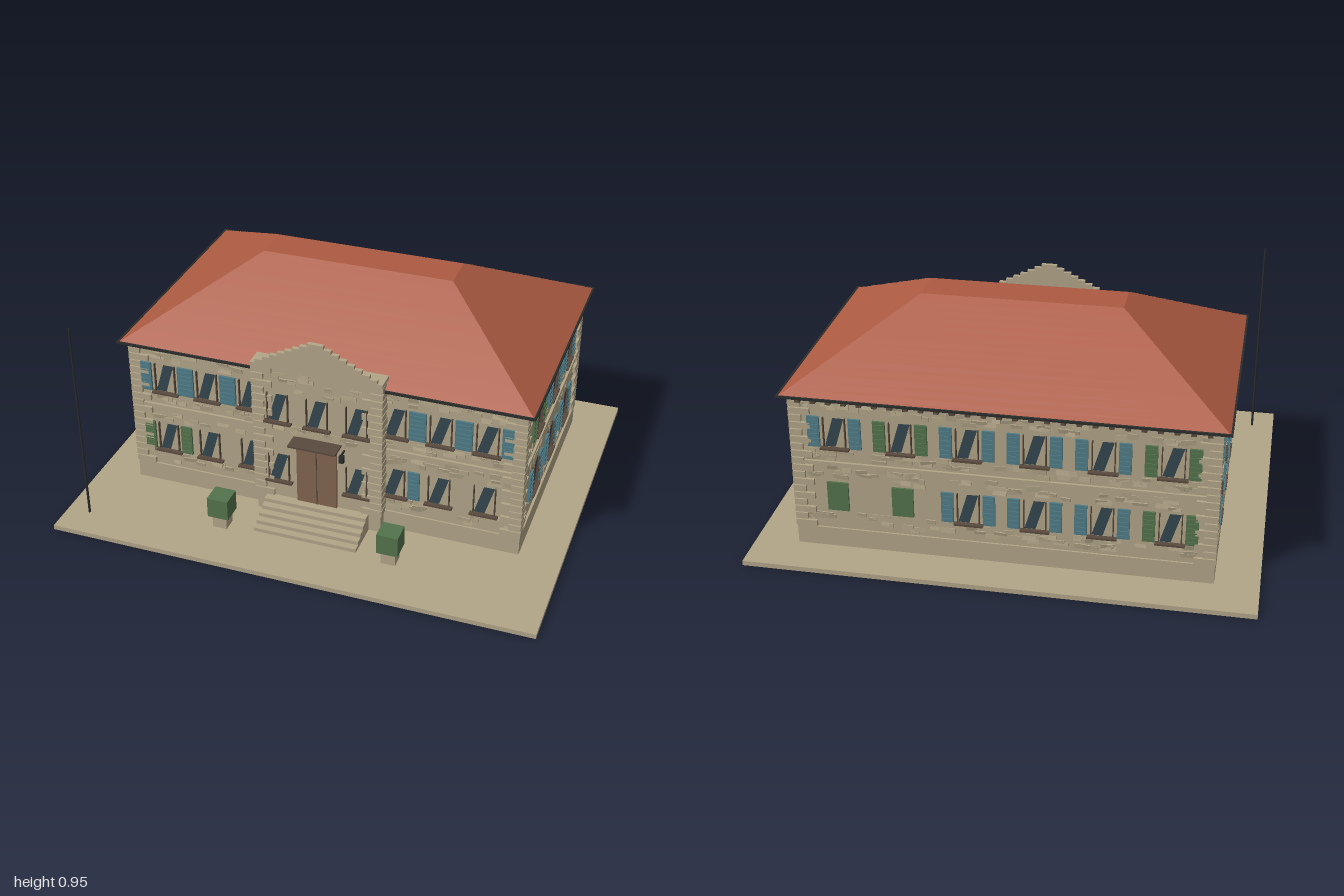
import * as THREE from 'three';
import { mergeGeometries } from 'three/addons/utils/BufferGeometryUtils.js';

const mat = (name, color, side = THREE.FrontSide) => {
  const m = new THREE.MeshStandardMaterial({ color, side });
  m.name = name;
  return m;
};

export function createModel() {
  const stone = mat('stone', 0xb2a588);
  const roofRed = mat('roof tile', 0xac5a41);
  const blue = mat('blue paint', 0x4f7c87);
  const green = mat('green paint', 0x53734c);
  const glass = mat('dark glass', 0x344650, THREE.DoubleSide);
  const wood = mat('door wood', 0x82644f);
  const trim = mat('dark trim', 0x5a4a3e);
  const metal = mat('dark metal', 0x2b2d2c);

  const model = new THREE.Group();
  model.name = 'building';
  let seed = 7;
  const rnd = () => (seed = (seed * 16807) % 2147483647) / 2147483647;

  const add = (parent, name, geometry, material, x = 0, y = 0, z = 0) => {
    const m = new THREE.Mesh(geometry, material);
    m.name = name;
    m.position.set(x, y, z);
    parent.add(m);
    return m;
  };
  // Box given by its minimum and maximum corners
  const span = (parent, name, material, x0, x1, y0, y1, z0, z1) =>
    add(parent, name, new THREE.BoxGeometry(x1 - x0, y1 - y0, z1 - z0), material,
      (x0 + x1) / 2, (y0 + y1) / 2, (z0 + z1) / 2);

  // Ground and main walls
  span(model, 'ground', stone, -1, 1, 0, 0.02, -0.82, 0.81);
  span(model, 'walls', stone, -0.815, 0.815, 0.02, 0.68, -0.637, 0.365);
  span(model, 'plinth', stone, -0.825, 0.825, 0.02, 0.1, -0.645, 0.373);
  span(model, 'stringCourse', stone, -0.826, 0.826, 0.385, 0.4, -0.648, 0.376);
  span(model, 'eaveBand', stone, -0.822, 0.822, 0.655, 0.675, -0.644, 0.372);

  // Quoins: alternating blocks up the corners
  const quoins = (x, z, y0, y1) => {
    const n = Math.round((y1 - y0) / 0.032), h = (y1 - y0) / n;
    for (let i = 0; i < n; i++) {
      const a = i % 2 ? 0.05 : 0.085, b = i % 2 ? 0.085 : 0.05;
      add(model, 'quoin', new THREE.BoxGeometry(a, h * 0.85, b), stone,
        x - Math.sign(x) * a / 2, y0 + h * (i + 0.5), z - Math.sign(z) * b / 2);
    }
  };
  for (const x of [-0.828, 0.828]) {
    quoins(x, 0.378, 0.1, 0.66);
    quoins(x, -0.65, 0.1, 0.66);
  }

  // Hipped roof in overlapping tile courses
  const hip = (w0, d0, w1, d1, h) => {
    const g = new THREE.BoxGeometry(1, h, 1), p = g.attributes.position;
    for (let i = 0; i < p.count; i++) {
      const up = p.getY(i) > 0;
      p.setX(i, p.getX(i) * (up ? w1 : w0));
      p.setZ(i, p.getZ(i) * (up ? d1 : d0));
    }
    g.computeVertexNormals();
    return g;
  };
  const courses = 14, rise = 0.265 / courses;
  const wide = t => 1.7 - 0.9 * t, deep = t => 1.075 - 0.915 * t;
  for (let i = 0; i < courses; i++) {
    const a = i / courses, b = (i + 1) / courses;
    add(model, 'roofCourse', hip(wide(a) + 0.008, deep(a) + 0.008, wide(b), deep(b), rise),
      roofRed, 0, 0.685 + rise * (i + 0.5), -0.1375);
  }
  span(model, 'soffit', trim, -0.85, 0.85, 0.675, 0.685, -0.675, 0.4);

  // Gutters and eave brackets
  for (const s of [-1, 1]) {
    span(model, 'sideGutter', metal, s * 0.857 - 0.004, s * 0.857 + 0.004, 0.678, 0.688, -0.684, 0.409);
    const z = s > 0 ? 0.405 : -0.68;
    span(model, 'longGutter', metal, -0.861, 0.861, 0.678, 0.688, z - 0.004, z + 0.004);
  }
  for (let x = -0.78; x < 0.8; x += 0.06)
    span(model, 'eaveBracket', trim, x - 0.01, x + 0.01, 0.66, 0.677, -0.67, -0.635);

  // Windows: slanted pane, sill, mullions and optional shutters
  const pane = new THREE.ShapeGeometry(new THREE.Shape([
    [-0.04, -0.062], [0.003, -0.062], [0.04, 0.062], [-0.004, 0.062],
  ].map(p => new THREE.Vector2(...p))));
  const shutterAt = (wall, x, y, paint) => {
    add(wall, 'shutter', new THREE.BoxGeometry(0.048, 0.13, 0.009), paint, x, y, 0.008);
    for (let i = 0; i < 6; i++)
      add(wall, 'shutterSlat', new THREE.BoxGeometry(0.038, 0.004, 0.004), paint, x, y - 0.05 + i * 0.02, 0.014);
  };
  const windowAt = (wall, x, y, left, right) => {
    add(wall, 'windowPane', pane, glass, x, y, 0.005);
    add(wall, 'windowSill', new THREE.BoxGeometry(0.115, 0.008, 0.02), trim, x, y - 0.07, 0.01);
    for (const s of [-1, 1])
      add(wall, 'windowJamb', new THREE.BoxGeometry(0.004, 0.125, 0.012), trim, x + s * 0.043, y, 0.006);
    if (left) shutterAt(wall, x - 0.082, y, left);
    if (right) shutterAt(wall, x + 0.082, y, right);
  };
  // Rough masonry: shallow tilted blocks, merged into one mesh
  const roughen = (wall, x0, x1, bands, count) => {
    const blocks = [];
    for (const [y0, y1] of bands) for (let i = 0; i < count; i++) {
      const g = new THREE.BoxGeometry(0.03 + rnd() * 0.035, 0.014 + rnd() * 0.01, 0.004);
      g.rotateX((rnd() - 0.5) * 0.5).rotateY((rnd() - 0.5) * 0.25);
      blocks.push(g.translate(x0 + (x1 - x0) * rnd(), y0 + (y1 - y0) * rnd(), 0.001));
    }
    add(wall, 'roughStones', mergeGeometries(blocks), stone);
  };
  const bands = [[0.12, 0.17], [0.325, 0.375], [0.41, 0.445], [0.61, 0.65]];
  const facade = (name, x, z, turn) => {
    const g = new THREE.Group();
    g.name = name;
    g.position.set(x, 0, z);
    g.rotation.y = turn;
    model.add(g);
    return g;
  };
  const low = 0.247, high = 0.53;

  // Front
  const front = facade('frontFacade', 0, 0.365, 0);
  roughen(front, -0.78, 0.78, bands, 45);
  for (const x of [0.675, 0.49, 0.305]) {
    const inner = x > 0.4 ? blue : null;
    windowAt(front, -x, high, blue, inner);
    windowAt(front, x, high, inner, blue);
    const paint = x > 0.6 ? green : null;
    windowAt(front, -x, low, paint, paint);
    windowAt(front, x, low, null, x < 0.4 ? blue : null);
  }

  // Sides: u runs along -z on the +x wall and along +z on the -x wall
  for (const s of [1, -1]) {
    const side = facade(s > 0 ? 'leftFacade' : 'rightFacade', s * 0.815, 0, s * Math.PI / 2);
    roughen(side, s > 0 ? -0.33 : -0.6, s > 0 ? 0.6 : 0.33, bands, 34);
    for (const z of [0.135, -0.135, -0.405]) {
      const paint = s > 0 && z > 0 ? green : blue;
      windowAt(side, -s * z, high, paint, paint);
      windowAt(side, -s * z, low, blue, blue);
    }
  }

  // Back
  const back = facade('backFacade', 0, -0.637, Math.PI);
  roughen(back, -0.78, 0.78, bands, 50);
  [blue, green, blue, blue, blue, green].forEach((paint, i) => {
    const x = -0.65 + i * 0.26;
    windowAt(back, x, high, paint, paint);
    if (i > 1) windowAt(back, x, low, paint, paint);
    else add(back, 'greenPanel', new THREE.BoxGeometry(0.085, 0.125, 0.009), green, x, low, 0.005);
  });

  // Projecting entrance bay with stepped gable
  span(model, 'entranceBay', stone, -0.265, 0.265, 0.02, 0.72, 0.352, 0.415);
  for (const s of [-1, 1]) quoins(s * 0.272, 0.426, 0.1, 0.71);
  span(model, 'bayCornice', stone, -0.272, 0.272, 0.71, 0.725, 0.352, 0.43);
  for (let i = 0; i < 8; i++) {
    const w = 0.25 - i * 0.031;
    span(model, 'gableStep', stone, -w, w, 0.725 + i * 0.0155, 0.7405 + i * 0.0155, 0.412, 0.43);
  }
  const bay = facade('entranceFacade', 0, 0.415, 0);
  roughen(bay, -0.18, 0.18, [[0.41, 0.445], [0.61, 0.69]], 14);
  for (const x of [-0.165, 0, 0.165]) {
    windowAt(bay, x, high);
    if (x) windowAt(bay, x, low);
  }

  // Door, canopy and lantern
  span(model, 'door', wood, -0.088, 0.082, 0.1, 0.36, 0.41, 0.424);
  span(model, 'doorSeam', trim, -0.005, -0.001, 0.1, 0.36, 0.42, 0.426);
  span(model, 'canopy', trim, -0.1, 0.1, 0.398, 0.406, 0.415, 0.49);
  span(model, 'lantern', metal, 0.102, 0.122, 0.348, 0.378, 0.438, 0.457);
  span(model, 'lanternArm', metal, 0.109, 0.115, 0.378, 0.386, 0.415, 0.452);

  // Entrance steps
  for (let i = 0; i < 5; i++)
    span(model, 'step', stone, -0.22, 0.215, 0.02, 0.1 - i * 0.016, 0.41, 0.455 + i * 0.03);

  // Planters
  for (const s of [-1, 1]) {
    add(model, 'planterBase', new THREE.BoxGeometry(0.06, 0.06, 0.06), stone, s * 0.357, 0.05, 0.572);
    add(model, 'shrub', new THREE.BoxGeometry(0.088, 0.088, 0.088), green, s * 0.357, 0.121, 0.572);
  }

  // Flagpole
  add(model, 'flagpole', new THREE.CylinderGeometry(0.004, 0.005, 0.865, 8), metal, -0.905, 0.4525, 0.68);
  return model;
}
